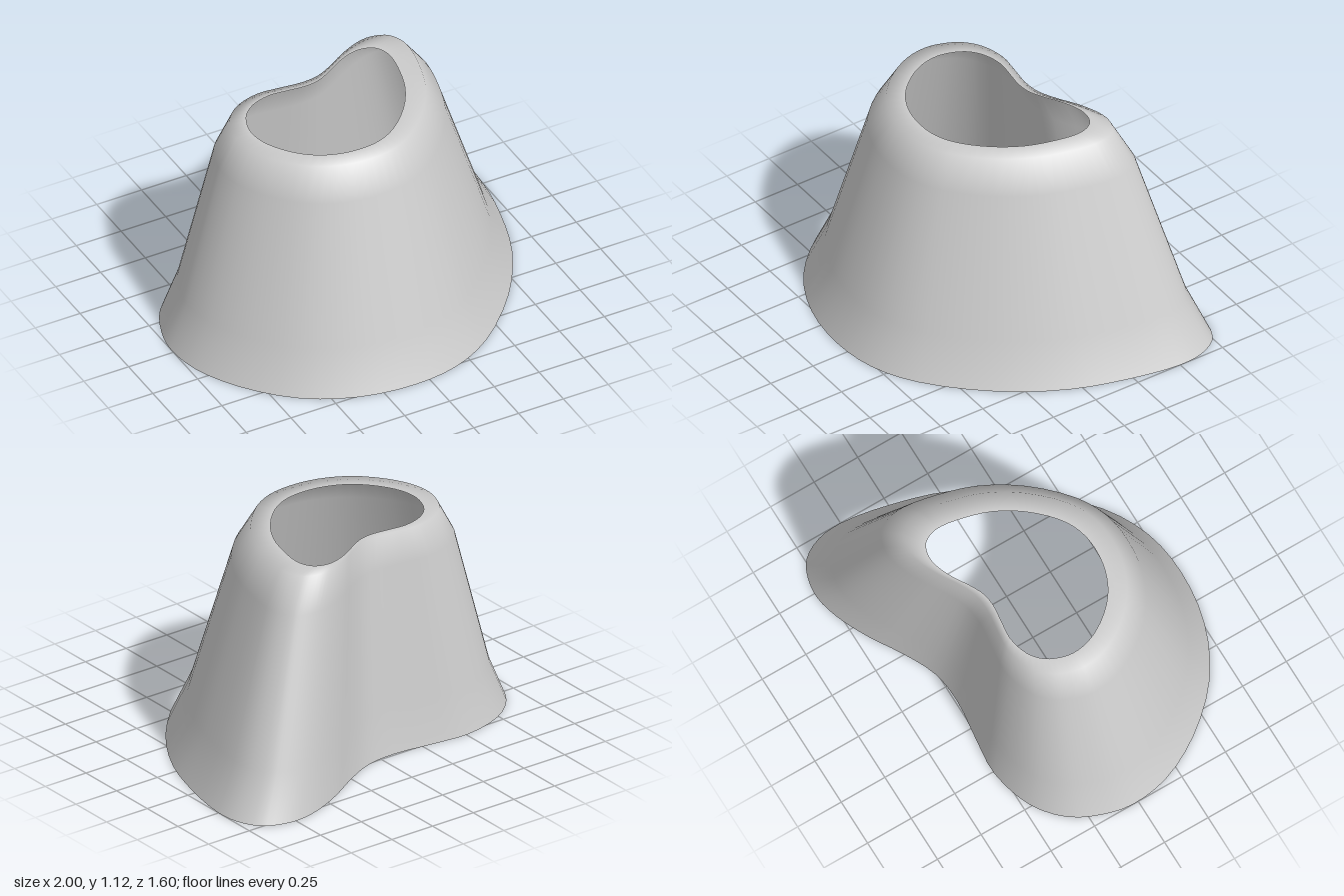
import * as THREE from 'three';

// Kidney-shaped base outline as (x, z) points
const OUTLINE = [
  [-1, -0.03], [-0.97, -0.18], [-0.89, -0.34], [-0.74, -0.465], [-0.51, -0.53], [-0.315, -0.515],
  [-0.085, -0.49], [0.085, -0.51], [0.255, -0.59], [0.42, -0.69], [0.595, -0.77], [0.73, -0.8],
  [0.84, -0.785], [0.925, -0.74], [0.985, -0.635], [1, -0.5], [0.955, -0.235], [0.86, 0.06],
  [0.675, 0.365], [0.395, 0.645], [0.165, 0.765], [-0.085, 0.8], [-0.37, 0.76], [-0.635, 0.63],
  [-0.85, 0.405], [-0.97, 0.175],
];

// Each ring is the outline shrunk about one centre: [scale, height]
const RINGS = [[1, 0], [0.886, 0.23], [0.656, 0.96], [0.554, 1.12], [0.45, 1.12]];
const CENTRE = -0.127; // same in x and z
const SEGMENTS = 78;

// Open tapered wall ending in a flat inward lip
function shellGeometry() {
  const curve = new THREE.CatmullRomCurve3(
    OUTLINE.map(([x, z]) => new THREE.Vector3(x, 0, z)), true);
  const base = curve.getPoints(SEGMENTS).slice(0, SEGMENTS);
  const positions = [];
  const indices = [];

  RINGS.forEach(([scale, y]) => {
    for (const p of base) {
      positions.push(CENTRE + (p.x - CENTRE) * scale, y, CENTRE + (p.z - CENTRE) * scale);
    }
  });

  for (let r = 0; r < RINGS.length - 1; r++) {
    for (let i = 0; i < SEGMENTS; i++) {
      const next = (i + 1) % SEGMENTS;
      const a = r * SEGMENTS + i;
      const b = r * SEGMENTS + next;
      const c = a + SEGMENTS;
      const d = b + SEGMENTS;
      indices.push(a, c, b, b, c, d);
    }
  }

  const geometry = new THREE.BufferGeometry();
  geometry.setAttribute('position', new THREE.Float32BufferAttribute(positions, 3));
  geometry.setIndex(indices);
  geometry.computeVertexNormals();
  return geometry;
}

export function createModel() {
  const group = new THREE.Group();
  group.name = 'taperedShell';

  const paleGrey = new THREE.MeshStandardMaterial({ color: 0xcccccc, side: THREE.DoubleSide });
  paleGrey.name = 'pale grey';

  const shell = new THREE.Mesh(shellGeometry(), paleGrey);
  shell.name = 'shellWall';
  group.add(shell);
  return group;
}
